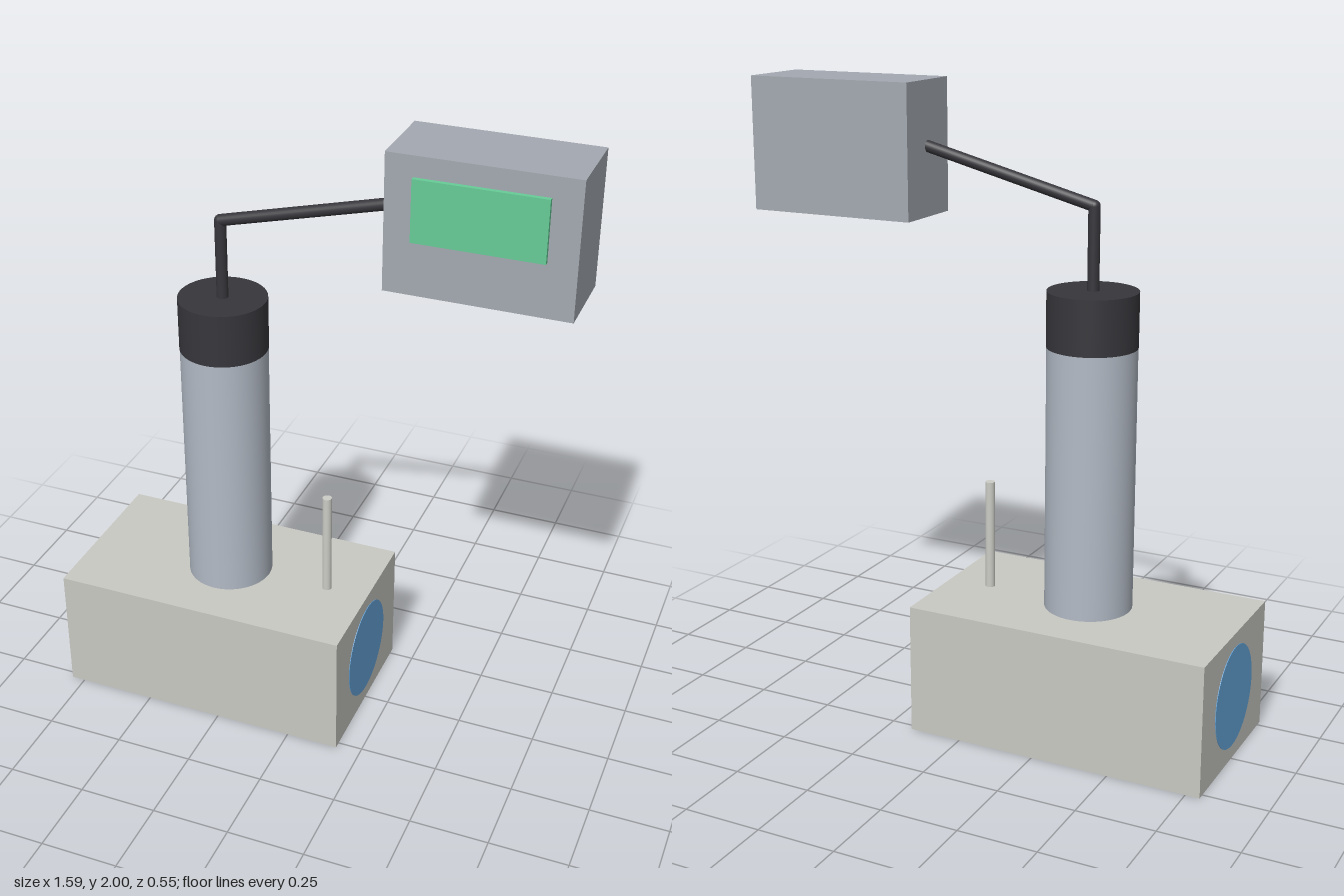
import * as THREE from 'three';

const material = (name, color) => {
  const m = new THREE.MeshStandardMaterial({ color });
  m.name = name;
  return m;
};

export function createModel() {
  const group = new THREE.Group();
  const stone = material('pale grey', 0xc9c9c3);
  const tubeGrey = material('tube grey', 0xb2bac5);
  const headGrey = material('housing grey', 0xa4a9b1);
  const dark = material('dark grey', 0x37363b);
  const green = material('screen green', 0x67cc97);
  const blue = material('bore blue', 0x68a8de);
  const silver = material('pin silver', 0xccccc6);

  const add = (name, geometry, mat, x, y, z) => {
    const mesh = new THREE.Mesh(geometry, mat);
    mesh.name = name;
    mesh.position.set(x, y, z);
    group.add(mesh);
    return mesh;
  };
  // Box between two opposite corners
  const box = (name, mat, a, b) => add(
    name, new THREE.BoxGeometry(b[0] - a[0], b[1] - a[1], b[2] - a[2]), mat,
    (a[0] + b[0]) / 2, (a[1] + b[1]) / 2, (a[2] + b[2]) / 2);
  // Round bar between two points
  const bar = (name, mat, r, a, b, sides = 48) => {
    const from = new THREE.Vector3(...a), to = new THREE.Vector3(...b);
    const dir = to.clone().sub(from);
    const mid = from.add(to).multiplyScalar(0.5);
    const mesh = add(name, new THREE.CylinderGeometry(r, r, dir.length(), sides), mat, mid.x, mid.y, mid.z);
    mesh.quaternion.setFromUnitVectors(new THREE.Vector3(0, 1, 0), dir.normalize());
    return mesh;
  };

  // Base block with a round bore showing at both ends
  box('base', stone, [-0.795, 0, -0.273], [0.17, 0.415, 0.273]);
  bar('bore', blue, 0.162, [-0.797, 0.208, 0], [0.172, 0.208, 0]);

  // Upright tube, its cap and the thin pin beside it
  bar('tube', tubeGrey, 0.137, [-0.312, 0.415, 0], [-0.312, 1.24, 0]);
  bar('cap', dark, 0.138, [-0.312, 1.24, 0], [-0.312, 1.41, 0]);
  bar('pin', silver, 0.015, [0.03, 0.4, 0], [0.03, 0.765, 0], 24);

  // Bent arm carrying the display
  const elbow = [-0.312, 1.66, 0];
  bar('armPost', dark, 0.018, [-0.312, 1.4, 0], elbow, 24);
  bar('armReach', dark, 0.018, elbow, [0.245, 1.803, 0], 24);
  add('armElbow', new THREE.SphereGeometry(0.018, 24, 16), dark, ...elbow);

  // Display housing and screen
  box('displayHousing', headGrey, [0.24, 1.587, -0.124], [0.79, 2, 0.124]);
  box('screen', green, [0.322, 1.752, 0.12], [0.705, 1.938, 0.138]);

  return group;
}
